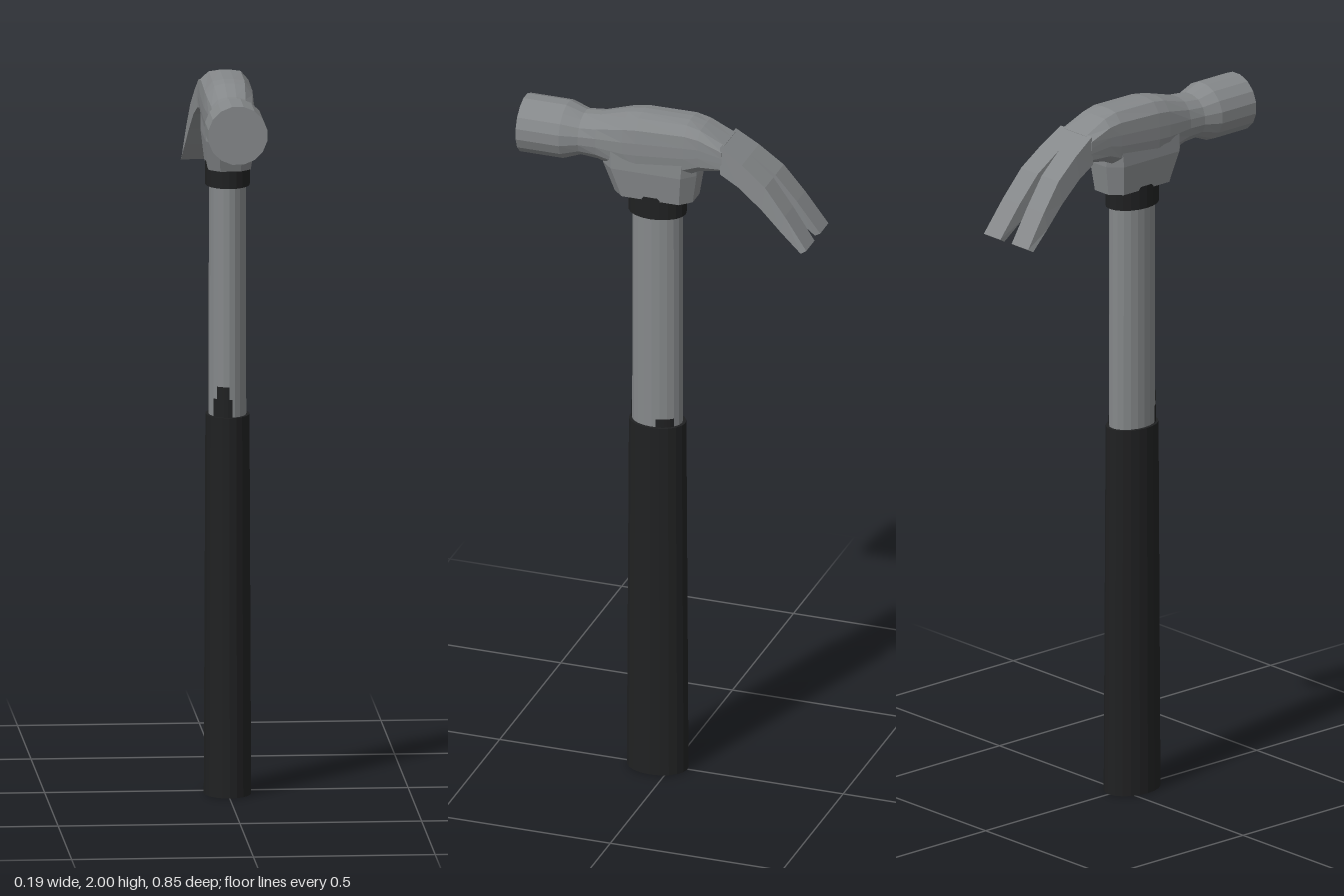
import * as THREE from 'three';

const V = (x, y, z) => new THREE.Vector3(x, y, z);

// Skin a run of closed cross-sections and cap both ends
function loft(sections) {
  const pos = [];
  const tri = (...pts) => pts.forEach((p) => pos.push(p.x, p.y, p.z));
  const n = sections[0].length;
  for (let j = 0; j < sections.length - 1; j++) {
    for (let i = 0; i < n; i++) {
      const k = (i + 1) % n;
      const a = sections[j][i], b = sections[j][k];
      const c = sections[j + 1][i], d = sections[j + 1][k];
      tri(a, c, b);
      tri(b, c, d);
    }
  }
  const first = sections[0], last = sections[sections.length - 1];
  for (let i = 1; i < n - 1; i++) {
    tri(first[0], first[i], first[i + 1]);
    tri(last[0], last[i + 1], last[i]);
  }
  const g = new THREE.BufferGeometry();
  g.setAttribute('position', new THREE.Float32BufferAttribute(pos, 3));
  g.computeVertexNormals();
  return g;
}

export function createModel() {
  const steel = new THREE.MeshStandardMaterial({ color: 0x85888a, flatShading: true });
  steel.name = 'steel';
  const rubber = new THREE.MeshStandardMaterial({ color: 0x202122, flatShading: true, side: THREE.DoubleSide });
  rubber.name = 'black rubber';

  const model = new THREE.Group();
  model.name = 'clawHammer';
  const add = (name, geometry, material) => {
    const mesh = new THREE.Mesh(geometry, material);
    mesh.name = name;
    model.add(mesh);
  };

  // Oval handle pieces, all centred on z = 0.04
  const oval = (rTop, rBottom, y0, y1, flat, ...arc) => {
    const g = new THREE.CylinderGeometry(rTop, rBottom, y1 - y0, arc.length ? 5 : 20, 1, arc.length > 0, ...arc);
    return g.scale(flat, 1, 1).translate(0, (y0 + y1) / 2, 0.04);
  };
  add('grip', oval(0.081, 0.087, 0, 1.06, 0.75), rubber);
  add('shaft', oval(0.071, 0.072, 1.05, 1.72, 0.72), steel);
  add('collar', oval(0.082, 0.082, 1.70, 1.765, 0.75), rubber);

  // Thin dark tongues above the grip's upper edge
  add('frontGripTongue', oval(0.0735, 0.0735, 1.05, 1.11, 0.73, -0.9, 1.05), rubber);
  add('frontGripTongueTip', oval(0.0735, 0.0735, 1.11, 1.145, 0.73, -0.65, 0.65), rubber);
  add('sideGripTongue', oval(0.0735, 0.0735, 1.05, 1.085, 0.73, 1.75, 0.75), rubber);

  // Striking face, neck and body: z, half width, bottom, top, squareness
  const sides = 16;
  const body = [
    [0.425, 0.081, 1.825, 1.986, 0],
    [0.30, 0.081, 1.825, 1.986, 0],
    [0.25, 0.066, 1.845, 1.968, 0.1],
    [0.20, 0.063, 1.842, 1.972, 0.3],
    [0.12, 0.069, 1.82, 1.995, 0.5],
    [0.08, 0.070, 1.82, 2.0, 0.6],
    [-0.06, 0.069, 1.84, 2.0, 0.65],
    [-0.10, 0.068, 1.862, 1.988, 0.8],
    [-0.17, 0.067, 1.875, 1.953, 0.95],
  ].map(([z, w, y0, y1, sq]) => Array.from({ length: sides }, (_, i) => {
    const a = ((i + 0.5) / sides) * Math.PI * 2;
    const c = Math.cos(a), s = Math.sin(a);
    const box = 1 / Math.max(Math.abs(c), Math.abs(s));
    const round = 1 / Math.cos(Math.PI / sides);
    const k = round + (box - round) * sq;
    return V(w * c * k, (y0 + y1) / 2 + ((y1 - y0) / 2) * s * k, z);
  }));
  add('head', loft(body), steel);

  // Chamfered socket under the head: y, half width, back z, front z, chamfer
  const socket = [
    [1.90, 0.066, -0.085, 0.185, 0.03],
    [1.84, 0.068, -0.085, 0.188, 0.035],
    [1.755, 0.058, -0.072, 0.155, 0.03],
  ].map(([y, w, b, f, c]) => [
    [w, f - c], [w, b + c], [w - c, b], [c - w, b],
    [-w, b + c], [-w, f - c], [c - w, f], [w - c, f],
  ].map(([x, z]) => V(x, y, z)));
  add('socket', loft(socket), steel);

  // Forked claw: top z, top y, bottom z, bottom y, inner x, outer x
  const claw = [
    [-0.165, 1.955, -0.165, 1.875, 0, 0.068],
    [-0.23, 1.914, -0.22, 1.847, 0, 0.074],
    [-0.30, 1.86, -0.29, 1.793, 0.008, 0.081],
    [-0.36, 1.785, -0.35, 1.737, 0.0155, 0.088],
    [-0.425, 1.694, -0.41, 1.685, 0.023, 0.095],
  ];
  for (const [name, side] of [['leftClaw', 1], ['rightClaw', -1]]) {
    const sections = claw.map(([zt, yt, zb, yb, xi, xo]) => {
      const ring = [
        V(side * xi, yb, zb), V(side * xo, yb, zb),
        V(side * (xo - 0.004), yt, zt), V(side * xi, yt, zt),
      ];
      return side > 0 ? ring : ring.reverse();
    });
    add(name, loft(sections), steel);
  }

  return model;
}
